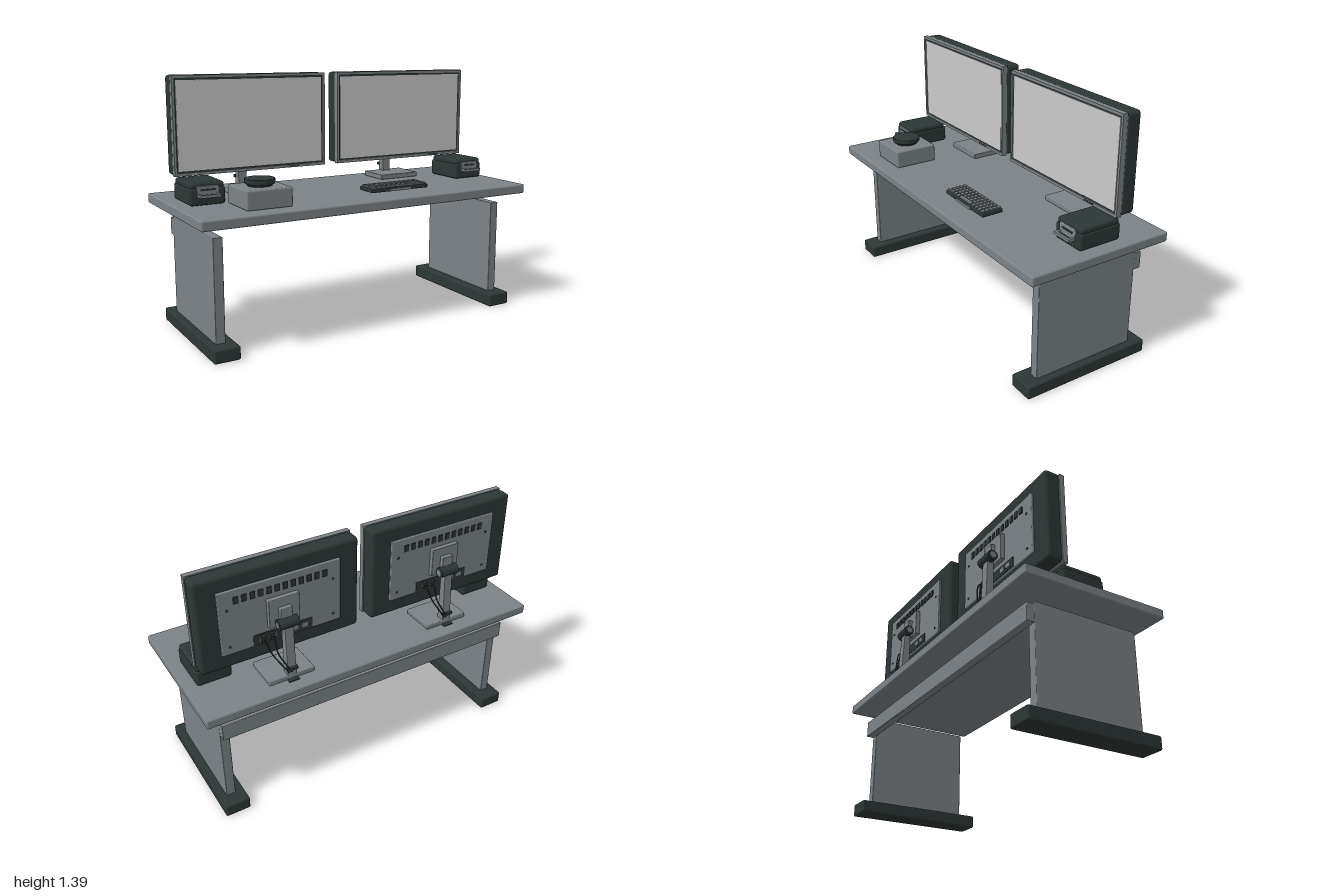
import * as THREE from 'three';
import { RoundedBoxGeometry } from 'three/addons/geometries/RoundedBoxGeometry.js';

const mat = (name, color) => {
  const m = new THREE.MeshStandardMaterial({ color });
  m.name = name;
  return m;
};

export function createModel() {
  const grey = mat('grey', 0x7c8387);
  const dark = mat('charcoal', 0x2d3735);
  const screenGrey = mat('screen grey', 0xcbcbcb);
  const model = new THREE.Group();
  model.name = 'workstation';

  const add = (parent, name, geometry, material) => {
    const mesh = new THREE.Mesh(geometry, material);
    mesh.name = name;
    parent.add(mesh);
    return mesh;
  };
  // Box given by its minimum and maximum in x, y, z; r rounds the edges
  const box = (parent, name, material, x, y, z, r = 0) => {
    const w = x[1] - x[0], h = y[1] - y[0], d = z[1] - z[0];
    const g = r ? new RoundedBoxGeometry(w, h, d, 2, r) : new THREE.BoxGeometry(w, h, d);
    g.translate((x[0] + x[1]) / 2, (y[0] + y[1]) / 2, (z[0] + z[1]) / 2);
    return add(parent, name, g, material);
  };
  const group = (name, x = 0) => {
    const g = new THREE.Group();
    g.name = name;
    g.position.x = x;
    model.add(g);
    return g;
  };
  const rect = (P, w, h) => {
    const p = new P();
    p.moveTo(-w / 2, -h / 2);
    p.lineTo(w / 2, -h / 2);
    p.lineTo(w / 2, h / 2);
    p.lineTo(-w / 2, h / 2);
    p.closePath();
    return p;
  };

  // Desk
  const desk = group('desk');
  box(desk, 'desktop', grey, [-1, 1], [0.68, 0.734], [-0.418, 0.418], 0.01);
  box(desk, 'rearBeam', grey, [-0.9, 0.9], [0.506, 0.602], [-0.345, -0.298], 0.004);
  for (const s of [-1, 1]) {
    const x = s * 0.875, f = s * 0.87;
    box(desk, 'legPanel', grey, [x - 0.026, x + 0.026], [0.06, 0.617], [-0.302, 0.302], 0.004);
    box(desk, 'foot', dark, [f - 0.071, f + 0.071], [0, 0.073], [-0.38, 0.38], 0.01);
  }

  // Monitors
  const buildMonitor = (cx) => {
    const m = group('monitor', cx);
    const midY = 1.123;
    box(m, 'backShell', dark, [-0.447, 0.447], [0.861, 1.386], [-0.238, -0.148], 0.018);
    const frame = rect(THREE.Shape, 0.896, 0.526);
    frame.holes.push(rect(THREE.Path, 0.868, 0.494));
    const bezel = new THREE.ExtrudeGeometry(frame, { depth: 0.03, bevelEnabled: false });
    add(m, 'bezel', bezel.translate(0, midY, -0.152), grey);
    box(m, 'screenSurround', dark, [-0.435, 0.435], [midY - 0.248, midY + 0.248], [-0.15, -0.13]);
    box(m, 'screen', screenGrey, [-0.426, 0.426], [midY - 0.238, midY + 0.238], [-0.132, -0.126]);
    for (let i = 0; i < 4; i++) {
      const x = 0.205 + i * 0.02;
      box(m, 'button', dark, [x, x + 0.011], [0.865, 0.872], [-0.123, -0.119]);
    }
    box(m, 'powerLight', screenGrey, [-0.342, -0.328], [0.865, 0.871], [-0.123, -0.119]);

    // Rear panel, vents, screws and ports
    box(m, 'rearPanel', grey, [-0.335, 0.335], [0.945, 1.305], [-0.25, -0.23], 0.005);
    for (let i = 0; i < 12; i++) {
      const x = -0.242 + i * 0.044;
      box(m, 'vent', dark, [x - 0.013, x + 0.013], [1.228, 1.266], [-0.255, -0.249]);
    }
    for (const sx of [-1, 1]) for (const y of [0.99, 1.2]) {
      const screw = new THREE.CylinderGeometry(0.007, 0.007, 0.004, 10).rotateX(Math.PI / 2);
      add(m, 'screw', screw.translate(sx * 0.29, y, -0.251), dark);
    }
    box(m, 'portPanel', dark, [-0.165, 0.165], [0.955, 1.012], [-0.254, -0.249]);
    for (const x of [-0.12, -0.065, 0.06, 0.115])
      box(m, 'port', grey, [x - 0.018, x + 0.018], [0.971, 0.996], [-0.257, -0.253]);

    // Stand
    box(m, 'mountPlate', grey, [-0.085, 0.085], [1.04, 1.2], [-0.277, -0.249], 0.004);
    box(m, 'mountArm', grey, [-0.033, 0.033], [1.055, 1.15], [-0.302, -0.275], 0.004);
    for (const [name, r, len, c] of [['hinge', 0.029, 0.11, dark], ['hingeCore', 0.018, 0.116, grey]])
      add(m, name, new THREE.CylinderGeometry(r, r, len, 24).rotateZ(Math.PI / 2).translate(0, 1.067, -0.304), c);
    const side = new THREE.Shape([[-0.284, 0.76], [-0.284, 1.06], [-0.315, 1.06], [-0.328, 0.76]]
      .map(([z, y]) => new THREE.Vector2(z, y)));
    const stem = new THREE.ExtrudeGeometry(side, { depth: 0.042, bevelThickness: 0.004, bevelSize: 0.003, bevelSegments: 2 });
    add(m, 'stem', stem.translate(0, 0, -0.021).rotateY(-Math.PI / 2), grey);
    box(m, 'standBase', grey, [-0.13, 0.13], [0.734, 0.763], [-0.332, -0.135], 0.005);
    box(m, 'cableClip', dark, [-0.03, 0.03], [0.795, 0.81], [-0.343, -0.32]);
    box(m, 'cableExit', dark, [-0.03, 0.03], [0.732, 0.74], [-0.355, -0.33]);

    // Cables run down the stem and through the desktop
    for (const s of [-1, 1]) {
      const x = 0.09 + s * 0.025;
      box(m, 'plug', dark, [x - 0.012, x + 0.012], [0.968, 1.004], [-0.27, -0.25]);
      const path = new THREE.CatmullRomCurve3([
        [x, 0.986, -0.265], [x, 0.975, -0.288], [0.08 + s * 0.015, 0.91, -0.309],
        [0.045 + s * 0.01, 0.84, -0.33], [0.02 + s * 0.008, 0.795, -0.338], [s * 0.01, 0.75, -0.3],
        [s * 0.01, 0.7, -0.257], [s * 0.01, 0.64, -0.255], [s * 0.01, 0.58, -0.255],
      ].map((p) => new THREE.Vector3(...p)));
      add(m, 'cable', new THREE.TubeGeometry(path, 48, 0.004, 8), dark);
    }
  };
  buildMonitor(-0.49);
  buildMonitor(0.488);

  // Desk units beside the monitors
  for (const s of [-1, 1]) {
    const u = group('sideUnit', s * 0.84);
    box(u, 'unitBody', dark, [-0.097, 0.097], [0.738, 0.832], [-0.157, 0.095], 0.016);
    box(u, 'unitLid', dark, [-0.092, 0.092], [0.815, 0.857], [-0.15, 0.09], 0.016);
    box(u, 'frontPanel', grey, [-0.06, 0.06], [0.785, 0.84], [0.085, 0.1], 0.004);
    box(u, 'frontSlot', dark, [-0.04, 0.04], [0.815, 0.825], [0.099, 0.103]);
    for (const x of [-0.05, 0.05])
      box(u, 'handleArm', grey, [x - 0.007, x + 0.007], [0.784, 0.799], [0.09, 0.135]);
    box(u, 'handleBar', grey, [-0.045, 0.045], [0.784, 0.799], [0.121, 0.135]);
  }

  // Small box with a round dial on top
  const dialUnit = group('dialUnit', -0.602);
  box(dialUnit, 'dialBox', grey, [-0.126, 0.126], [0.736, 0.837], [0.078, 0.33], 0.008);
  const dial = [[0, 0.83], [0.064, 0.83], [0.064, 0.845], [0.077, 0.849], [0.08, 0.854], [0.08, 0.872], [0.077, 0.876], [0, 0.876]];
  const dialGeo = new THREE.LatheGeometry(dial.map(([r, y]) => new THREE.Vector2(r, y)), 40);
  add(dialUnit, 'dial', dialGeo.translate(0, 0, 0.204), dark);

  // Keyboard
  const keyboard = group('keyboard', 0.205);
  box(keyboard, 'keyboardBody', dark, [-0.185, 0.185], [0.75, 0.772], [0.163, 0.29], 0.005);
  box(keyboard, 'frontLedge', grey, [-0.072, 0.072], [0.752, 0.766], [0.28, 0.297]);
  const cols = 12, pitchX = 0.0298, pitchZ = 0.0235;
  for (let r = 0; r < 5; r++) for (let c = 0; c < cols; c++) {
    if (r === 4 && c > 3 && c < 8) continue;
    const x = (c - (cols - 1) / 2) * pitchX, z = 0.179 + r * pitchZ;
    box(keyboard, 'key', grey, [x - 0.0115, x + 0.0115], [0.77, 0.781], [z - 0.0085, z + 0.0085]);
  }
  const spaceZ = 0.179 + 4 * pitchZ;
  box(keyboard, 'spaceBar', grey, [-0.056, 0.056], [0.77, 0.781], [spaceZ - 0.0085, spaceZ + 0.0085]);

  return model;
}
